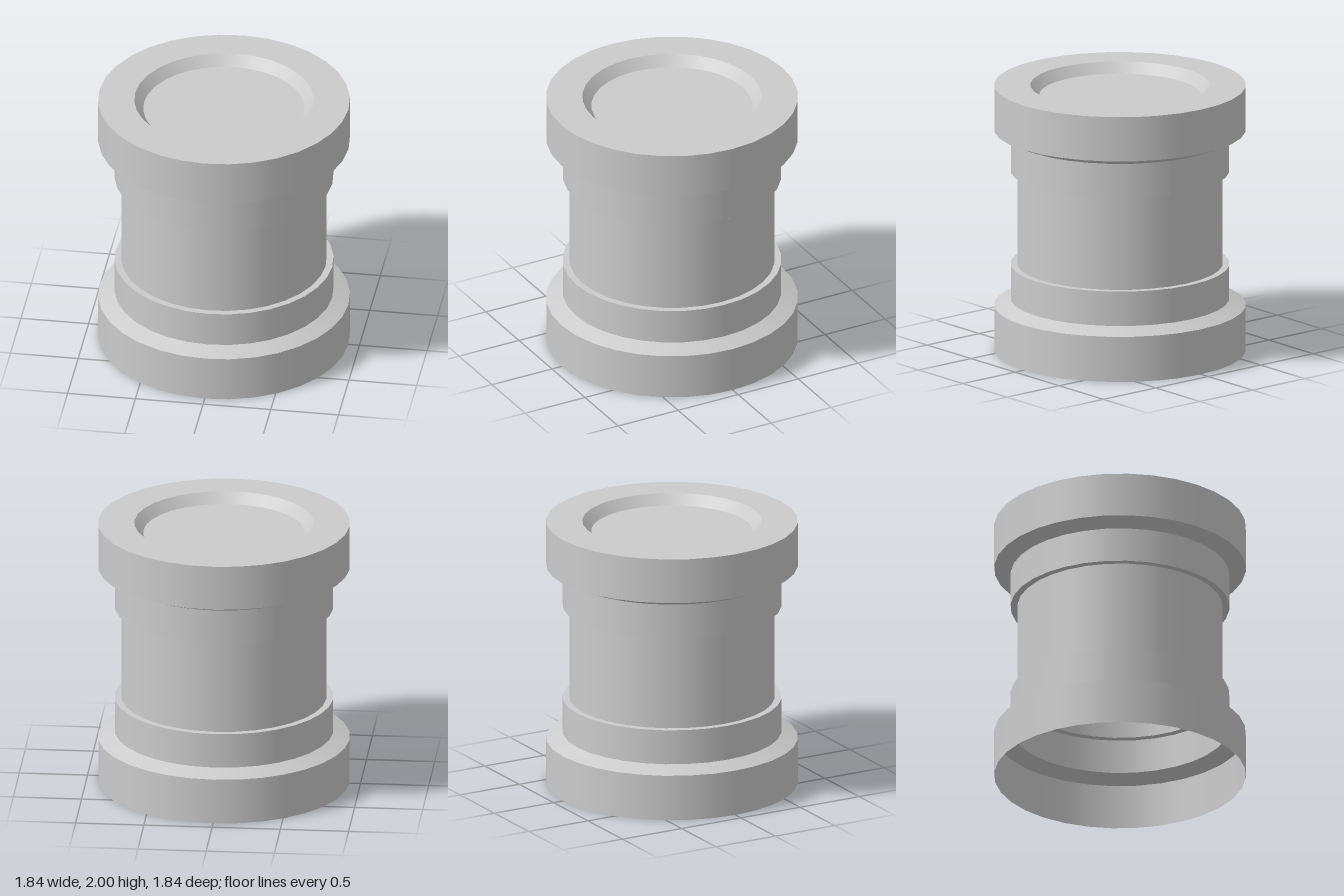
import * as THREE from 'three';

const SIDES = 32;
const material = new THREE.MeshStandardMaterial({ color: 0xcccccc, side: THREE.DoubleSide });

// Each band is a separate lathe: smooth around, sharp where bands meet.
function addBand(parent, name, r0, y0, r1, y1) {
  const points = [new THREE.Vector2(r0, y0), new THREE.Vector2(r1, y1)];
  const mesh = new THREE.Mesh(new THREE.LatheGeometry(points, SIDES), material);
  mesh.name = name;
  parent.add(mesh);
}

export function createModel() {
  const group = new THREE.Group();
  group.name = 'drum';

  // Thin shell, open at the bottom
  addBand(group, 'bottomRim', 0.92, 0, 0.92, 0.34);
  addBand(group, 'bottomBevel', 0.92, 0.34, 0.8, 0.39);
  addBand(group, 'bottomCollar', 0.8, 0.39, 0.8, 0.65);
  addBand(group, 'bottomStep', 0.8, 0.65, 0.75, 0.65);
  addBand(group, 'waist', 0.75, 0.65, 0.75, 1.355);
  addBand(group, 'topStep', 0.75, 1.355, 0.8, 1.355);
  addBand(group, 'topCollar', 0.8, 1.355, 0.8, 1.615);
  addBand(group, 'topBevel', 0.8, 1.615, 0.92, 1.665);
  addBand(group, 'topRim', 0.92, 1.665, 0.92, 2);

  // Flat lid ring with a shallow tapered recess
  addBand(group, 'lidRing', 0.92, 2, 0.655, 2);
  addBand(group, 'recessWall', 0.655, 2, 0.59, 1.925);
  const floor = new THREE.Mesh(new THREE.CircleGeometry(0.59, SIDES), material);
  floor.name = 'recessFloor';
  floor.rotation.x = -Math.PI / 2;
  floor.position.y = 1.925;
  group.add(floor);

  return group;
}
